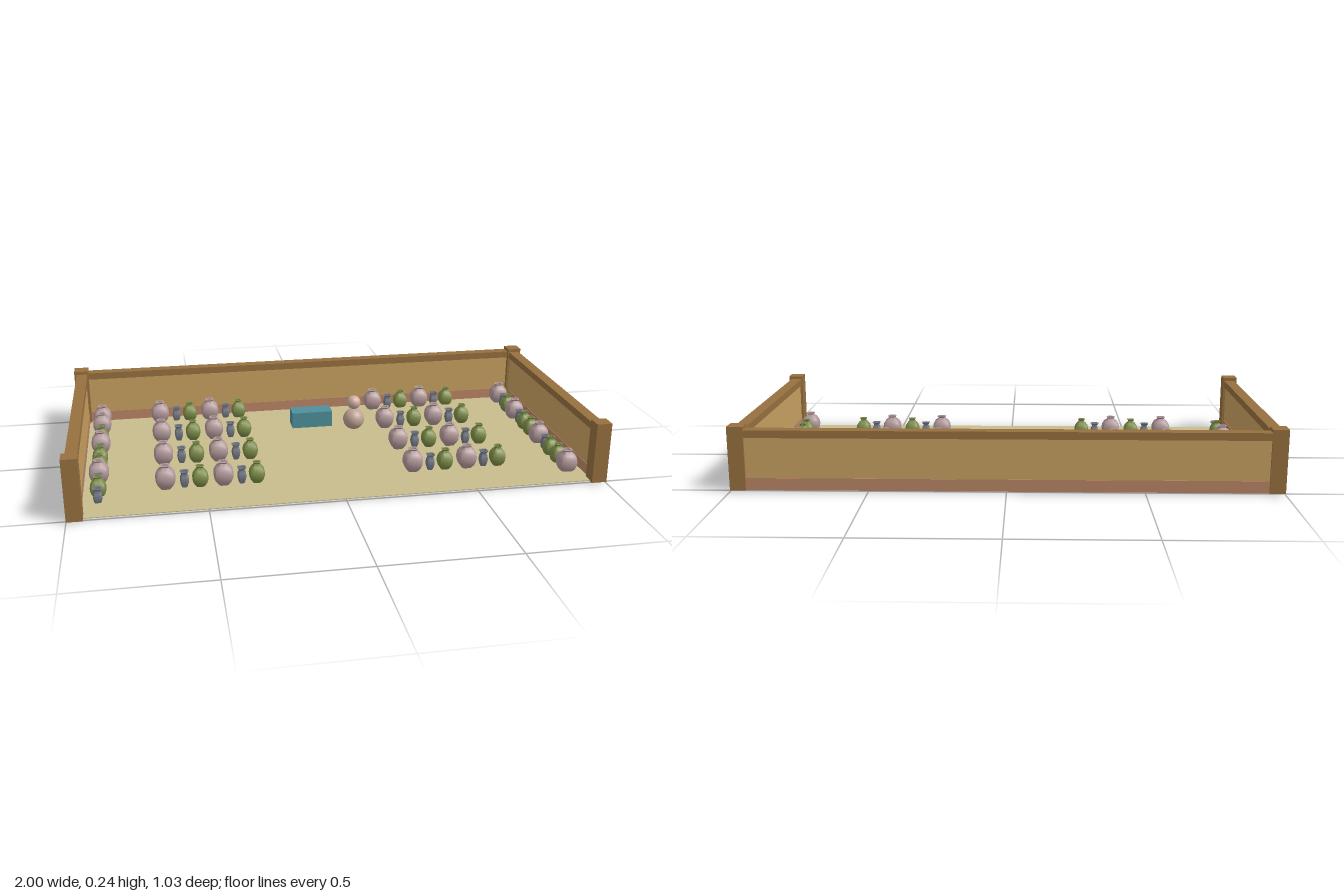
import * as THREE from 'three';
import { mergeVertices, toCreasedNormals } from 'three/addons/utils/BufferGeometryUtils.js';

const mat = (color, side = THREE.FrontSide) => new THREE.MeshStandardMaterial({ color, side });
const wood = mat(0x96703f), tan = mat(0xc8a060), clay = mat(0xba8565);

function add(parent, name, geometry, material, x, y, z) {
  const mesh = new THREE.Mesh(geometry, material);
  mesh.name = name;
  mesh.position.set(x, y, z);
  parent.add(mesh);
  return mesh;
}

// Turned profile pushed out to a rounded-square plan
function jarGeometry(profile) {
  const geo = new THREE.LatheGeometry(profile.map(([r, y]) => new THREE.Vector2(r, y)), 16);
  const p = geo.attributes.position;
  for (let i = 0; i < p.count; i++) {
    const x = p.getX(i), z = p.getZ(i), r = Math.hypot(x, z);
    if (r < 1e-6) continue;
    const k = Math.pow(Math.pow(Math.abs(x / r), 4) + Math.pow(Math.abs(z / r), 4), -0.25);
    p.setXYZ(i, x * k, p.getY(i), z * k);
  }
  geo.deleteAttribute('normal');
  geo.deleteAttribute('uv');
  return toCreasedNormals(mergeVertices(geo, 1e-5), 0.8);
}

const jars = {
  B: {
    name: 'largeJar', material: mat(0xb3999b, THREE.DoubleSide),
    geometry: jarGeometry([[0, 0], [0.019, 0], [0.03, 0.015], [0.036, 0.03], [0.0375, 0.045], [0.035, 0.06],
      [0.028, 0.073], [0.015, 0.082], [0.014, 0.086], [0.018, 0.092], [0.01, 0.092], [0.009, 0.08], [0, 0.08]]),
  },
  G: {
    name: 'greenJar', material: mat(0x7d8d49, THREE.DoubleSide),
    geometry: jarGeometry([[0, 0], [0.016, 0], [0.025, 0.013], [0.029, 0.026], [0.03, 0.038], [0.027, 0.052],
      [0.019, 0.064], [0.012, 0.07], [0.011, 0.075], [0.015, 0.081], [0.009, 0.081], [0.008, 0.069], [0, 0.069]]),
  },
  S: {
    name: 'smallVase', material: mat(0x747a86, THREE.DoubleSide),
    geometry: jarGeometry([[0, 0], [0.01, 0], [0.015, 0.015], [0.017, 0.028], [0.015, 0.042], [0.011, 0.05],
      [0.011, 0.054], [0.017, 0.063], [0.011, 0.063], [0.009, 0.05], [0, 0.05]]),
  },
};

function addJar(parent, kind, x, y, z) {
  const { name, geometry, material } = jars[kind];
  add(parent, name, geometry, material, x, y, z);
}

// Straight wall: clay skirting, tan panel and wooden cap
function wall(name, length) {
  const group = new THREE.Group();
  group.name = name;
  const layers = [['skirting', 0.005, 0.05, 0.036, clay], ['panel', 0.05, 0.2, 0.032, tan], ['cap', 0.2, 0.228, 0.044, wood]];
  for (const [part, y0, y1, depth, material] of layers)
    add(group, part, new THREE.BoxGeometry(length, y1 - y0, depth), material, 0, (y0 + y1) / 2, 0);
  return group;
}

export function createModel() {
  const model = new THREE.Group();
  model.name = 'jarYard';

  // Floor
  add(model, 'floor', new THREE.BoxGeometry(1.98, 0.003, 0.995), mat(0xc8bc8d), 0, 0.0065, 0);

  // Walls on three sides
  const back = wall('backWall', 1.9);
  back.position.z = -0.493;
  model.add(back);
  for (const s of [-1, 1]) {
    const side = wall(s > 0 ? 'leftWall' : 'rightWall', 0.93);
    side.rotation.y = Math.PI / 2;
    side.position.x = s * 0.968;
    model.add(side);
    for (const t of [-1, 1])
      add(model, 'cornerPost', new THREE.BoxGeometry(0.058, 0.236, 0.058), wood, s * 0.971, 0.123, t * 0.488);
  }

  // Four rows of jars in two blocks
  const row = [['B', 0], ['S', 0.07], ['G', 0.129], ['B', 0.216], ['S', 0.285], ['G', 0.342]];
  const rows = new THREE.Group();
  rows.name = 'jarRows';
  [-0.433, -0.187, 0.055, 0.291].forEach((z, i) => {
    for (const x0 of [-0.647, 0.301])
      for (const [kind, dx] of row) addJar(rows, kind, x0 + dx, i ? 0.009 : 0.002, z);
  });
  model.add(rows);

  // Jars lined up along the side walls, slightly sunk
  const columns = [
    [-0.893, 'BBSGBSGGBSGS', [-0.43, -0.337, -0.267, -0.208, -0.123, -0.05, 0.008, 0.09, 0.176, 0.248, 0.305, 0.37]],
    [0.893, 'BSGBSGGBSGGB', [-0.425, -0.355, -0.297, -0.21, -0.142, -0.08, -0.008, 0.083, 0.158, 0.217, 0.294, 0.382]],
  ];
  for (const [x, kinds, zs] of columns) {
    const column = new THREE.Group();
    column.name = 'jarColumn';
    zs.forEach((z, i) => addJar(column, kinds[i], x, 0, z));
    model.add(column);
  }

  // Counter and the round attendant beside it
  add(model, 'counter', new THREE.BoxGeometry(0.172, 0.068, 0.08), mat(0x4e8f9b), -0.005, 0.041, -0.277);
  const figure = new THREE.Group();
  figure.name = 'attendant';
  add(figure, 'body', new THREE.SphereGeometry(0.045, 24, 16), mat(0xc0a294), 0, 0.055, 0);
  add(figure, 'head', new THREE.SphereGeometry(0.029, 24, 16), mat(0xcdae9f), 0, 0.129, 0);
  figure.position.set(0.165, 0, -0.187);
  model.add(figure);

  return model;
}
